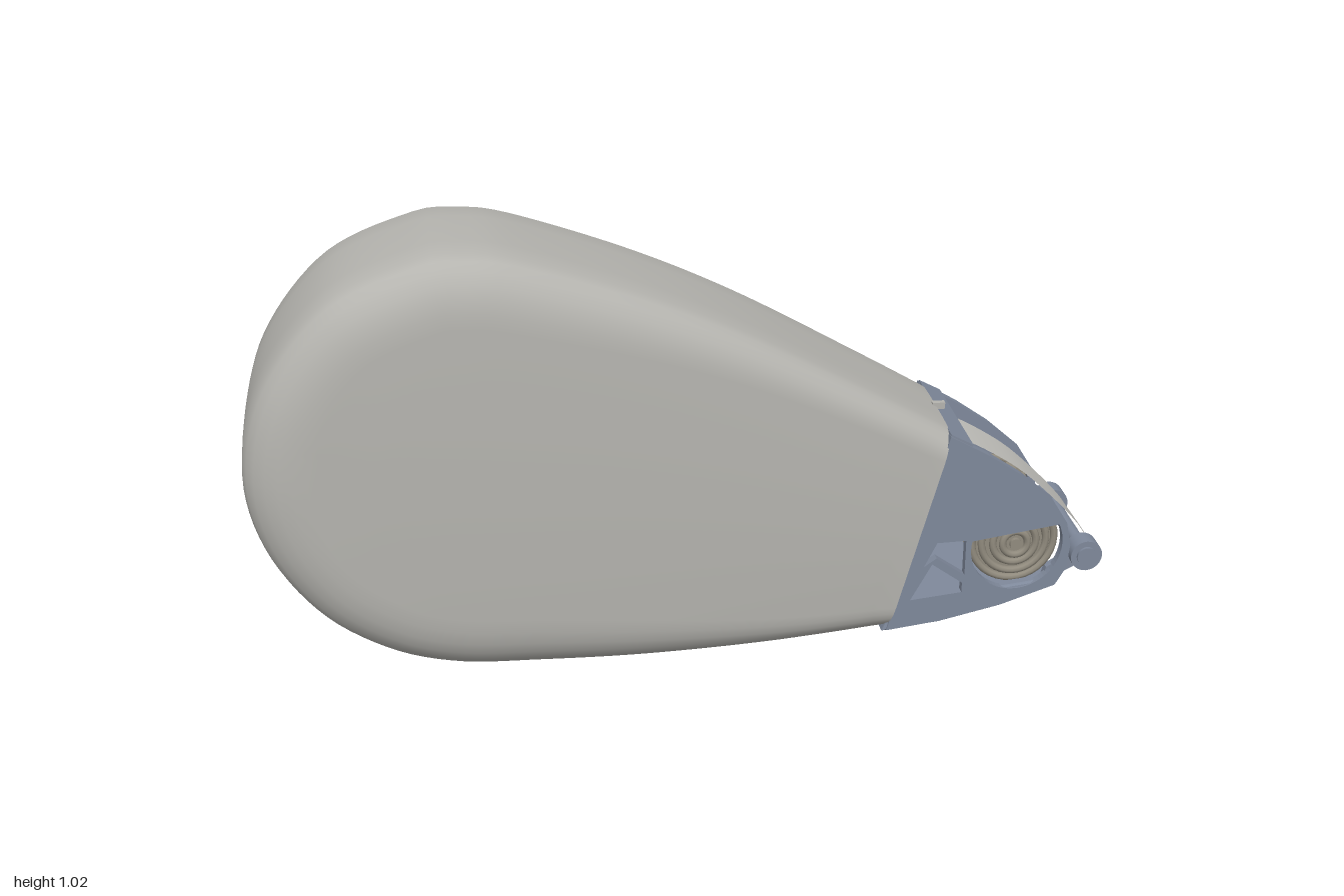
import * as THREE from 'three';
import { toCreasedNormals } from 'three/addons/utils/BufferGeometryUtils.js';

const mat = (name, color, side = THREE.FrontSide) => {
  const m = new THREE.MeshStandardMaterial({ color, side });
  m.name = name;
  return m;
};
const V2 = (p) => new THREE.Vector2(p[0], p[1]);

// Rear-to-front taper of the casing half width
const halfWidth = (x) => 0.25 - 0.07 * Math.pow(Math.max(0, x + 0.7) / 1.3, 1.5);

// Side outline of the casing, from the top of the mouth round the tail to the bottom
const OUTLINE = [
  [0.61, 0.53], [0.45, 0.622], [0.15, 0.79], [-0.1, 0.905], [-0.37, 1.0], [-0.49, 1.02], [-0.6, 1.01],
  [-0.8, 0.92], [-0.95, 0.73], [-1, 0.52], [-0.96, 0.33], [-0.85, 0.17], [-0.7, 0.068], [-0.54, 0.02],
  [-0.35, 0.008], [-0.1, 0.002], [0.2, 0.01], [0.47, 0.03],
];
// Half cross-section: share of half width, inset from the outline
const SECTION = [
  [1, 0.15], [0.99, 0.115], [0.965, 0.083], [0.92, 0.055], [0.85, 0.03], [0.77, 0.013], [0.66, 0.004], [0.35, 0.001], [0, 0],
];

function casingGeometries() {
  const n = 120;
  const pts = new THREE.SplineCurve(OUTLINE.map(V2)).getSpacedPoints(n);
  const cut = pts[n].clone().sub(pts[0]).normalize();
  const inward = pts.map((p, i) => {
    if (i === 0) return cut;
    if (i === n) return cut.clone().negate();
    const t = pts[i + 1].clone().sub(pts[i - 1]).normalize();
    return new THREE.Vector2(-t.y, t.x);
  });
  const inset = (i, d) => {
    const sharp = 1 - 0.55 * THREE.MathUtils.smoothstep(pts[i].x, -0.5, 0.6);
    return pts[i].clone().addScaledVector(inward[i], d * sharp);
  };
  const full = [...SECTION, ...SECTION.slice(0, -1).reverse().map(([s, d]) => [-s, d])];
  const cols = full.length + 2;
  const pos = [], skin = [], mouth = [];
  for (let i = 0; i <= n; i++) {
    const m = inset(i, 0.15).add(inset(n - i, 0.15)).multiplyScalar(0.5);
    pos.push(m.x, m.y, halfWidth(m.x));
    for (const [s, d] of full) {
      const p = inset(i, d);
      pos.push(p.x, p.y, s * halfWidth(p.x));
    }
    pos.push(m.x, m.y, -halfWidth(m.x));
  }
  for (let j = 0; j < cols - 1; j++) {
    for (let i = 0; i < n; i++) {
      const a = i * cols + j, d = a + cols;
      skin.push(a, a + 1, d + 1, a, d + 1, d);
    }
    const d = n * cols + j;
    mouth.push(j, d + 1, j + 1, j, d, d + 1);
  }
  const make = (index) => {
    const g = new THREE.BufferGeometry();
    g.setAttribute('position', new THREE.Float32BufferAttribute(pos, 3));
    g.setIndex(index);
    g.computeVertexNormals();
    return g;
  };
  // Narrow slot cover wrapped on the lower tail
  const slot = new THREE.PlaneGeometry(1, 0.06, 8, 1);
  const sp = slot.attributes.position;
  const strip = pts.filter((p) => p.x < -0.9 && p.y > 0.26 && p.y < 0.45);
  const path = new THREE.SplineCurve(strip);
  for (let k = 0; k < sp.count; k++) {
    const p = path.getPoint(sp.getX(k) + 0.5);
    sp.setXYZ(k, p.x - 0.004, p.y - 0.002, sp.getY(k));
  }
  slot.computeVertexNormals();
  return { skin: toCreasedNormals(make(skin), 0.8), mouth: make(mouth), slot };
}

// Extrude a side profile about z = 0
function profile(points, depth, holes = [], bevel = 0) {
  const shape = new THREE.Shape(points.map(V2));
  shape.holes.push(...holes);
  const g = new THREE.ExtrudeGeometry(shape, {
    depth: depth - 2 * bevel, curveSegments: 32, bevelEnabled: bevel > 0,
    bevelSize: bevel, bevelThickness: bevel, bevelOffset: -bevel, bevelSegments: 3,
  });
  return g.translate(0, 0, -depth / 2 + bevel);
}

export function createModel() {
  const root = new THREE.Group();
  const shell = mat('warm grey shell', 0xb5b4af);
  const frame = mat('blue grey frame', 0x7f899b, THREE.DoubleSide);
  const gear = mat('taupe gear', 0x918b7e);
  const tapeMat = mat('pale tape', 0xc3c2bd, THREE.DoubleSide);
  const dark = mat('dark brown slot', 0x33270f, THREE.DoubleSide);

  const add = (name, geo, material, x = 0, y = 0, z = 0, parent = root) => {
    const m = new THREE.Mesh(geo, material);
    m.name = name;
    m.position.set(x, y, z);
    parent.add(m);
    return m;
  };
  const rod = (r, len, seg = 24) => new THREE.CylinderGeometry(r, r, len, seg).rotateX(Math.PI / 2);

  // Casing
  const c = casingGeometries();
  add('casing', c.skin, shell);
  add('mouthPanel', c.mouth, frame);
  add('tailSlot', c.slot, dark);
  add('topCatch', new THREE.BoxGeometry(0.03, 0.016, 0.014), shell, 0.615, 0.532, 0);

  // Side plates with a gear hole and two slanted windows
  const round = new THREE.Path();
  round.absarc(0.78, 0.23, 0.112, 0, Math.PI * 2, true);
  const windows = [
    [[0.525, 0.11], [0.575, 0.2], [0.65, 0.145], [0.65, 0.12]],
    [[0.555, 0.195], [0.585, 0.255], [0.655, 0.255], [0.655, 0.165], [0.585, 0.215]],
  ].map((w) => new THREE.Path(w.map(V2)));
  const PLATE = [
    [0.47, 0.035], [0.6, 0.048], [0.75, 0.078], [0.88, 0.118], [0.905, 0.16], [0.912, 0.22],
    [0.9, 0.28], [0.86, 0.345], [0.78, 0.415], [0.7, 0.47], [0.605, 0.525],
  ];
  for (const s of [1, -1]) {
    const g = profile(PLATE, 0.022, [round, ...windows]);
    const p = g.attributes.position;
    for (let i = 0; i < p.count; i++) p.setZ(i, p.getZ(i) + s * (0.166 - (p.getX(i) - 0.5) * 0.05));
    g.computeVertexNormals();
    add('sidePlate', g, frame);

    // Tip arm and knob
    add('tipArm', profile([[0.85, 0.12], [0.96, 0.175], [0.95, 0.21], [0.86, 0.16]], 0.02), frame, 0, 0, s * 0.135);
    add('tipKnob', rod(0.038, 0.05), frame, 0.95, 0.195, s * 0.143);
    add('knobCap', rod(0.024, 0.01), frame, 0.95, 0.195, s * 0.17);
    // Sloping guide beside the tape
    add('tapeGuide', profile([[0.6, 0.47], [0.64, 0.49], [0.72, 0.39], [0.69, 0.38]], 0.04), frame, 0, 0, s * 0.12);

    // Stepped rings on the gear face
    [[0.1, 0.125], [0.078, 0.132], [0.052, 0.139], [0.03, 0.146]].forEach(([r, z]) => {
      add('gearRing', new THREE.TorusGeometry(r, 0.009, 8, 36), gear, 0.78, 0.23, s * z);
      add('gearStep', rod(r - 0.008, 0.012, 36), gear, 0.78, 0.23, s * (z - 0.006));
    });
    add('gearHub', rod(0.014, 0.02), gear, 0.78, 0.23, s * 0.146);
  }

  // Base tray, slightly narrower toward the tip
  const base = profile(
    [[0.46, 0.03], [0.6, 0.042], [0.75, 0.072], [0.885, 0.118], [0.885, 0.135], [0.7, 0.118], [0.49, 0.1]],
    0.35, [], 0.008);
  const bp = base.attributes.position;
  for (let i = 0; i < bp.count; i++) bp.setZ(i, bp.getZ(i) * (1 - (bp.getX(i) - 0.46) * 0.28));
  base.computeVertexNormals();
  add('baseTray', base, frame);

  // Cross bars
  add('topBar', profile([[0.6, 0.49], [0.655, 0.485], [0.66, 0.5], [0.607, 0.528]], 0.33), frame);
  add('middleBar', rod(0.014, 0.3), frame, 0.7, 0.38);
  add('tipBar', rod(0.017, 0.26), frame, 0.95, 0.195);

  // Toothed spool
  const teeth = [];
  for (let i = 0; i < 56; i++) {
    const r = i % 4 < 2 ? 0.106 : 0.096, a = (i / 56) * Math.PI * 2;
    teeth.push([r * Math.cos(a), r * Math.sin(a)]);
  }
  add('toothedSpool', profile(teeth, 0.25), gear, 0.78, 0.23, 0);

  // Tape running over the spool to the tip
  const path = new THREE.SplineCurve(
    [[0.615, 0.483], [0.66, 0.472], [0.73, 0.435], [0.81, 0.38], [0.89, 0.305], [0.945, 0.245], [0.97, 0.21], [1.0, 0.167]].map(V2));
  const tape = new THREE.PlaneGeometry(1, 0.148, 32, 1);
  const tp = tape.attributes.position;
  for (let i = 0; i < tp.count; i++) {
    const q = path.getPoint(tp.getX(i) + 0.5);
    tp.setXYZ(i, q.x, q.y, -tp.getY(i));
  }
  tape.computeVertexNormals();
  add('tape', tape, tapeMat);

  return root;
}
